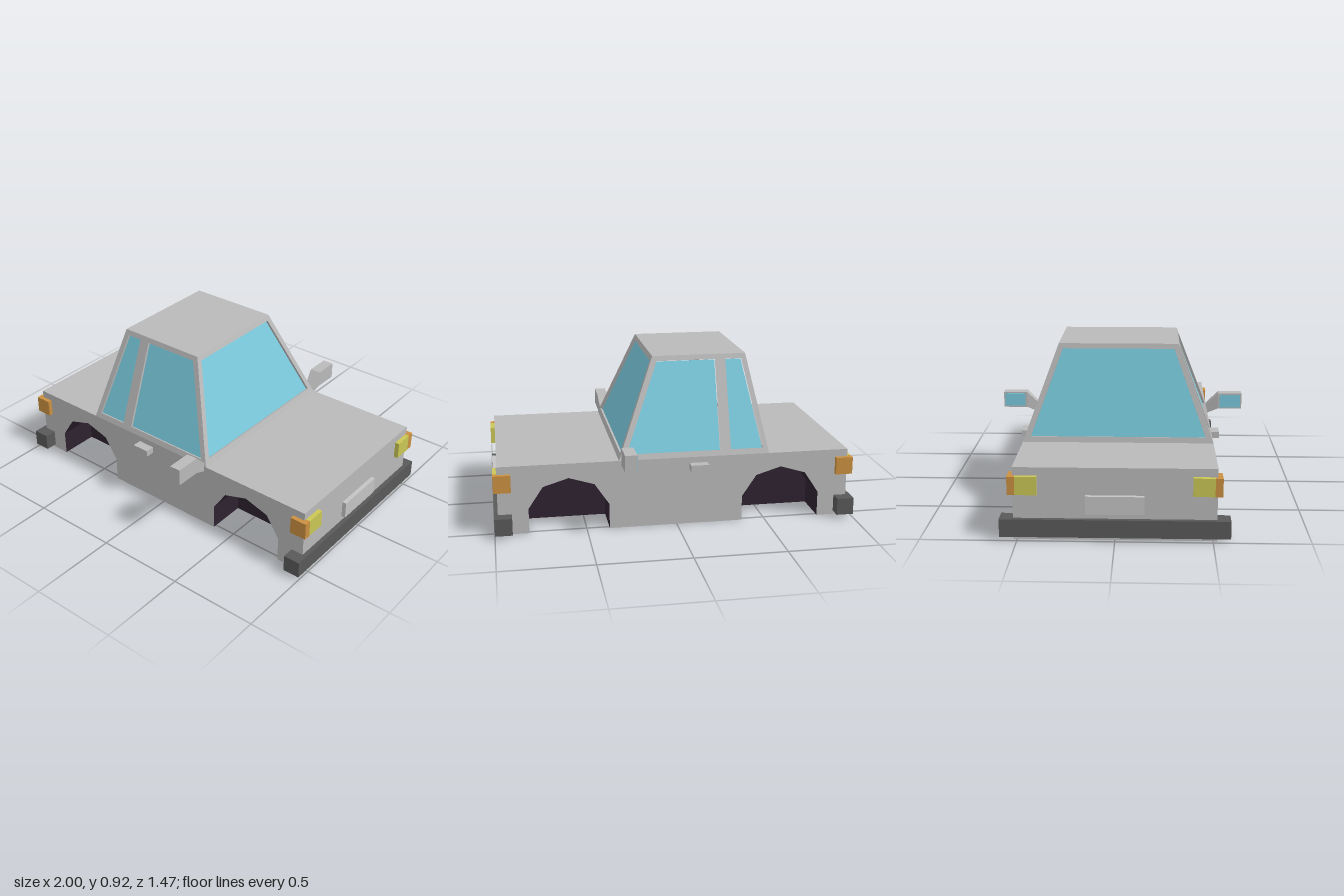
import * as THREE from 'three';

const mat = (name, color) => new THREE.MeshStandardMaterial({ name, color });

export function createModel() {
  const car = new THREE.Group();
  car.name = 'car';
  const paint = mat('greyPaint', 0xb9b9b9);
  const dark = mat('darkUnderbody', 0x2e2230);
  const glass = mat('blueGlass', 0x79c9dc);
  const rubber = mat('bumperGrey', 0x595959);
  const yellow = mat('yellowLamp', 0xcac656);
  const orange = mat('orangeLamp', 0xca9040);
  const plateMat = mat('plateGrey', 0xc4c4c4);

  const add = (name, geometry, material, parent = car) => {
    const mesh = new THREE.Mesh(geometry, material);
    mesh.name = name;
    parent.add(mesh);
    return mesh;
  };
  // Box given by its lower and upper limits on each axis
  const box = (name, material, [x0, x1], [y0, y1], [z0, z1]) => {
    const g = new THREE.BoxGeometry(Math.abs(x1 - x0), Math.abs(y1 - y0), Math.abs(z1 - z0));
    g.translate((x0 + x1) / 2, (y0 + y1) / 2, (z0 + z1) / 2);
    return add(name, g, material);
  };
  const toShape = (pts) => new THREE.Shape(pts.map(([x, y]) => new THREE.Vector2(x, y)));

  // Lower body outline with two faceted wheel arches
  const arch = [[-0.22, 0], [-0.22, 0.14], [-0.14, 0.26], [0, 0.303], [0.14, 0.26], [0.22, 0.14], [0.22, 0]];
  const bodyShape = (halfLength, height) => toShape([
    [-halfLength, 0],
    ...arch.map(([x, y]) => [x - 0.59, y]),
    ...arch.map(([x, y]) => [x + 0.595, y]),
    [halfLength, 0], [halfLength, height], [-halfLength, height],
  ]);

  // Dark underbody, with wheel wells cut into both sides
  box('underbody', dark, [-0.97, 0.97], [0, 0.38], [-0.3, 0.3]);
  for (const s of [1, -1]) {
    const well = new THREE.ExtrudeGeometry(bodyShape(0.97, 0.38), { depth: 0.219, bevelEnabled: false });
    well.translate(0, 0, s > 0 ? 0.3 : -0.519);
    add('wheelWells', well, dark);

    const skin = new THREE.ShapeGeometry(bodyShape(0.975, 0.385));
    if (s < 0) skin.rotateY(Math.PI).scale(1, 1, 1);
    const side = add('bodySide', skin, paint);
    side.position.z = s * 0.52;
    // The far skin is turned about, so its arches are put back by shifting 0.005
    if (s < 0) side.position.x = 0.005;
    if (s < 0) side.scale.x = 1.949 / 1.95;
  }
  box('bodyTop', paint, [-0.975, 0.975], [0.376, 0.385], [-0.52, 0.52]);

  // Both ends: panel, bumper, plate and lamps
  for (const e of [1, -1]) {
    box('bodyEnd', paint, [e * 0.967, e * 0.975], [0, 0.385], [-0.52, 0.52]);
    box('bumper', rubber, [e * 0.905, e], [0.02, 0.115], [-0.59, 0.59]);
    box('numberPlate', plateMat, [e * 0.97, e * 0.998], [0.145, 0.24], [-0.15, 0.15]);
    for (const s of [1, -1]) {
      box('headlamp', yellow, [e * 0.96, e], [0.245, 0.342], [s * 0.395, s * 0.506]);
      box('cornerLamp', orange, [e * 0.905, e], [0.245, 0.342], [s * 0.506, s * 0.545]);
    }
  }

  // Cabin: four leaning frames with recessed glass, and a roof
  const y0 = 0.385, y1 = 0.915, rise = y1 - y0;
  function cabinPanel(name, outline, holes, offset, lean, turn) {
    const k = Math.hypot(rise, lean) / rise;
    const flip = turn === Math.PI ? -1 : 1;
    const local = (pts) => pts.map(([h, y]) => [h * flip, (y - y0) * k]);
    const frame = toShape(local(outline));
    frame.holes = holes.map((p) => toShape(local(p)));
    const panel = new THREE.Group();
    panel.name = name;
    panel.rotation.set(-Math.atan2(lean, rise), turn, 0, 'YXZ');
    panel.position.set(Math.sin(turn) * offset, y0, Math.cos(turn) * offset);
    const g = new THREE.ExtrudeGeometry(frame, { depth: 0.02, bevelEnabled: false });
    g.translate(0, 0, -0.02);
    add('windowFrame', g, paint, panel);
    for (const p of holes) {
      const pane = add('windowGlass', new THREE.ShapeGeometry(toShape(local(p))), glass, panel);
      pane.position.z = -0.014;
    }
    car.add(panel);
  }
  const sideOutline = [[-0.52, y0], [0.32, y0], [0.105, y1], [-0.42, y1]];
  const sideWindows = [
    [[-0.485, 0.415], [-0.305, 0.415], [-0.305, 0.888], [-0.395, 0.888]],
    [[-0.245, 0.415], [0.276, 0.415], [0.082, 0.888], [-0.245, 0.888]],
  ];
  const endOutline = [[-0.52, y0], [0.52, y0], [0.325, y1], [-0.325, y1]];
  const endWindow = [[[-0.477, 0.415], [0.477, 0.415], [0.303, 0.888], [-0.303, 0.888]]];
  cabinPanel('leftCabinSide', sideOutline, sideWindows, 0.52, 0.195, 0);
  cabinPanel('rightCabinSide', sideOutline, sideWindows, 0.52, 0.195, Math.PI);
  cabinPanel('windscreen', endOutline, endWindow, 0.32, 0.215, Math.PI / 2);
  cabinPanel('rearWindow', endOutline, endWindow, 0.52, 0.1, -Math.PI / 2);
  box('roof', paint, [-0.42, 0.105], [0.9, y1], [-0.325, 0.325]);

  // Door handles and wing mirrors on both sides
  for (const s of [1, -1]) {
    box('doorHandle', paint, [-0.17, -0.07], [0.315, 0.352], [s * 0.515, s * 0.572]);
    box('mirrorHousing', paint, [0.25, 0.315], [0.385, 0.48], [s * 0.59, s * 0.733]);
    box('mirrorGlass', glass, [0.247, 0.251], [0.393, 0.472], [s * 0.6, s * 0.725]);
    // Arm narrows from the housing down to the door
    const arm = new THREE.BoxGeometry(2, 2, 2);
    const p = arm.attributes.position;
    for (let i = 0; i < p.count; i++) {
      const outer = p.getZ(i) * s > 0, right = p.getX(i) > 0, up = p.getY(i) > 0;
      if (outer) p.setXYZ(i, right ? 0.315 : 0.25, up ? 0.48 : 0.385, s * 0.59);
      else p.setXYZ(i, right ? 0.305 : 0.265, up ? 0.405 : 0.35, s * 0.515);
    }
    arm.computeVertexNormals();
    add('mirrorArm', arm, paint);
  }
  return car;
}
